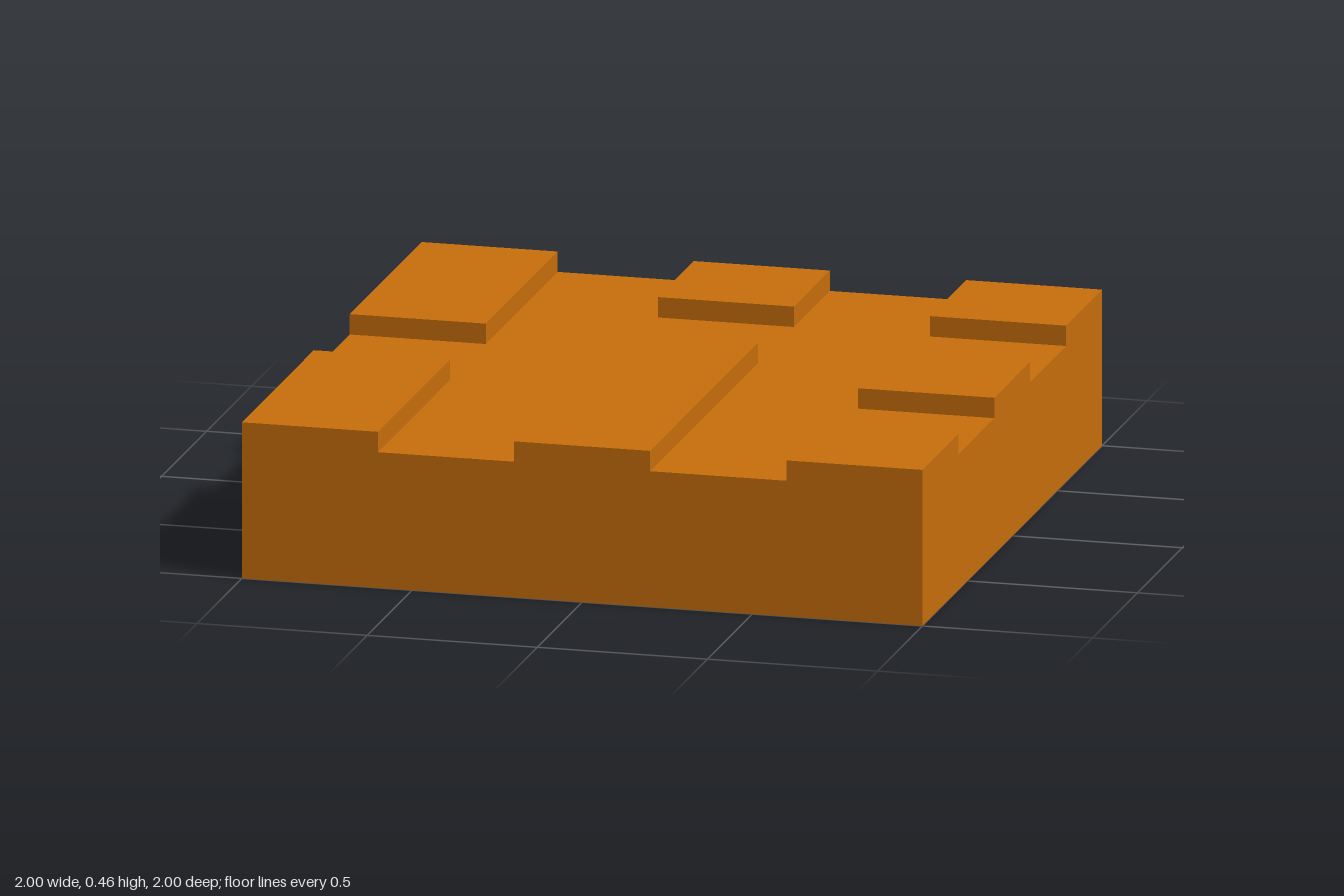
import * as THREE from 'three';

const BASE = 0.4; // height of the slab
const TOP = 0.46; // height of the raised blocks

export function createModel() {
  const group = new THREE.Group();
  const material = new THREE.MeshStandardMaterial({ color: 0xc96f0c });

  // Box given by its extents along each axis
  const addBox = (name, x0, x1, y0, y1, z0, z1) => {
    const mesh = new THREE.Mesh(new THREE.BoxGeometry(x1 - x0, y1 - y0, z1 - z0), material);
    mesh.position.set((x0 + x1) / 2, (y0 + y1) / 2, (z0 + z1) / 2);
    mesh.name = name;
    group.add(mesh);
  };

  // Slab
  addBox('slab', -1, 1, 0, BASE, -1, 1);

  // Raised blocks in three columns: start x, then [back z, front z] of each block
  const columns = [
    ['right', -1, [[-1, -0.2], [0.2, 1]]],
    ['middle', -0.2, [[-1, -0.6], [-0.2, 1]]],
    ['left', 0.6, [[-1, -0.6], [-0.2, 0.2], [0.6, 1]]],
  ];
  for (const [side, x, spans] of columns) {
    spans.forEach(([z0, z1], i) => addBox(`${side}Block${i + 1}`, x, x + 0.4, BASE, TOP, z0, z1));
  }

  return group;
}
